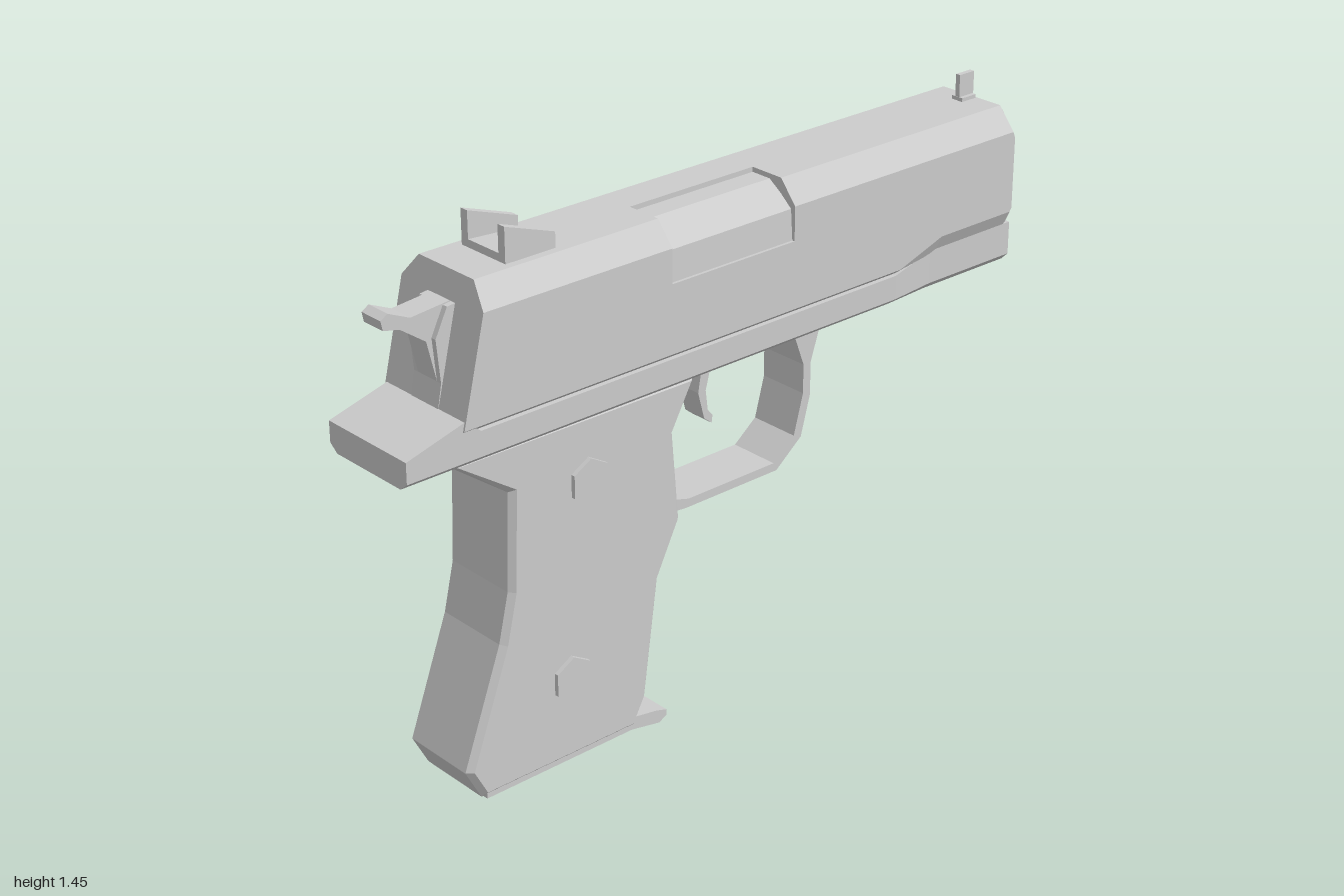
import * as THREE from 'three';

const material = new THREE.MeshStandardMaterial({ color: 0xcccccc, flatShading: true, side: THREE.DoubleSide });

const toShape = pts => new THREE.Shape(pts.map(p => new THREE.Vector2(p[0], p[1])));

const hexagon = (cx, cy, r, turn = 0) => Array.from({ length: 6 }, (_, i) => {
  const a = turn + i * Math.PI / 3;
  return [cx + r * Math.cos(a), cy + r * Math.sin(a)];
});

// Skin over rings of [x, y, z] points that run anticlockwise seen from +x
function loft(rings, capFront = true) {
  const pos = [];
  const n = rings[0].length;
  const tri = (...pts) => pts.forEach(p => pos.push(...p));
  for (let k = 0; k < rings.length - 1; k++) {
    const a = rings[k], b = rings[k + 1];
    for (let i = 0; i < n; i++) {
      const j = (i + 1) % n;
      tri(a[i], a[j], b[j]);
      tri(a[i], b[j], b[i]);
    }
  }
  const centre = r => [0, 1, 2].map(c => r.reduce((s, p) => s + p[c], 0) / n);
  const first = rings[0], last = rings[rings.length - 1];
  for (let i = 0; i < n; i++) {
    const j = (i + 1) % n;
    tri(centre(first), first[j], first[i]);
    if (capFront) tri(centre(last), last[i], last[j]);
  }
  const g = new THREE.BufferGeometry();
  g.setAttribute('position', new THREE.Float32BufferAttribute(pos, 3));
  g.computeVertexNormals();
  return g;
}

// Side profile in x, y given thickness from z0 to z1, with an optional inset bevel
function slab(pts, z0, z1, bevel = 0) {
  return new THREE.ExtrudeGeometry(toShape(pts), {
    depth: z1 - z0 - 2 * bevel, bevelEnabled: bevel > 0, bevelSegments: 1,
    bevelSize: bevel, bevelThickness: bevel, bevelOffset: -bevel
  }).translate(0, 0, z0 + bevel);
}

// Cross-section shape pushed along +x
const along = (shape, x0, x1) => new THREE.ExtrudeGeometry(shape, { depth: x1 - x0, bevelEnabled: false })
  .rotateY(Math.PI / 2).translate(x0, 0, 0);

export function createModel() {
  const model = new THREE.Group();
  const body = new THREE.Group();
  body.name = 'body';
  body.position.z = 0.01;
  model.add(body);
  const add = (name, geometry) => {
    const m = new THREE.Mesh(geometry, material);
    m.name = name;
    body.add(m);
    return m;
  };

  // Slide: chamfered section with an ejection port cut and a raised front underside
  const slideRing = (x, b, lip, port = false) => [
    [-0.1, 1.36], [0, 1.36], [0, port ? 1.347 : 1.36], [0.06, port ? 1.347 : 1.36],
    port ? [0.1, 1.32] : [0.1, 1.36], port ? [0.136, 1.29] : [0.15, 1.3],
    port ? [0.142, 1.21] : [0.15, 1.21], [0.15, 1.21],
    [0.15, b], [0.125, b - lip], [-0.125, b - lip], [-0.15, b], [-0.15, 1.3]
  ].map(([z, y]) => [x, y, z]);
  const rear = slideRing(0, 1.03, 0.02).map(([, y, z]) => [-0.84 + (y - 1.03) * 0.24, y, z]);
  const nose = slideRing(0.98, 1.08, 0.05).map(([x, y, z]) => [x, y > 1.25 ? y - 0.025 : y, z * 0.9]);
  add('slide', loft([
    rear,
    slideRing(-0.22, 1.03, 0.02), slideRing(-0.22, 1.03, 0.02, true),
    slideRing(0.175, 1.03, 0.02, true), slideRing(0.175, 1.03, 0.02),
    slideRing(0.55, 1.03, 0.02), slideRing(0.7, 1.08, 0.05),
    slideRing(0.955, 1.08, 0.05), nose
  ], false));

  // Front plate of the slide with the bore opening
  const outline = nose.filter((p, i) => i !== 2 && i !== 7).map(([, y, z]) => [-z, y]);
  const plate = toShape(outline);
  plate.holes.push(toShape(hexagon(0, 1.23, 0.085)));
  add('slideFront', new THREE.ShapeGeometry(plate).rotateY(Math.PI / 2).translate(0.98, 0, 0));

  // Hollow six-sided barrel, closed deep inside
  const tube = toShape(hexagon(0, 1.23, 0.097));
  tube.holes.push(toShape(hexagon(0, 1.23, 0.083)));
  add('barrel', along(tube, 0.6, 0.995));
  add('barrelEnd', along(toShape(hexagon(0, 1.23, 0.09)), 0.58, 0.6));
  add('springPlug', along(toShape(hexagon(0, 1.01, 0.06)), 0.9, 0.995));

  // Frame: rear tang, straight rails and a slimmer dust cover
  const frameRing = (x, top, w, wBottom) => [
    [-w, top], [w, top], [w, 0.95], [wBottom, 0.93], [-wBottom, 0.93], [-w, 0.95]
  ].map(([z, y]) => [x, y, z]);
  add('frame', loft([
    frameRing(-1, 1.005, 0.145, 0.12), frameRing(-0.835, 1.05, 0.145, 0.12),
    frameRing(-0.79, 1.015, 0.145, 0.12), frameRing(0.54, 1.015, 0.145, 0.12),
    frameRing(0.68, 1.04, 0.13, 0.11), frameRing(0.98, 1.04, 0.13, 0.11)
  ]));

  // Grip with bevelled edges
  add('grip', slab([
    [-0.86, 0.935], [-0.69, 0.81], [-0.7, 0.55], [-0.73, 0.42], [-0.845, 0.11], [-0.8, 0.025],
    [-0.32, 0.025], [-0.28, 0.1], [-0.235, 0.42], [-0.165, 0.56], [-0.185, 0.8], [-0.115, 0.935]
  ], -0.12, 0.12, 0.015));
  add('floorPlate', slab([
    [-0.79, 0.02], [-0.33, 0.02], [-0.24, 0.003], [-0.215, 0.015], [-0.215, 0.032],
    [-0.25, 0.042], [-0.33, 0.055], [-0.4, 0.04], [-0.79, 0.035]
  ], -0.115, 0.115));

  // Grip screws on both sides
  for (const [x, y] of [[-0.46, 0.77], [-0.525, 0.255]]) {
    add('gripScrew', slab(hexagon(x, y, 0.06, Math.PI / 6), -0.132, 0.132));
  }

  // Trigger guard and trigger
  add('triggerGuard', slab([
    [-0.19, 0.56], [-0.11, 0.552], [0.2, 0.552], [0.285, 0.62], [0.315, 0.73], [0.315, 0.82], [0.355, 0.94],
    [0.245, 0.94], [0.29, 0.82], [0.29, 0.74], [0.26, 0.63], [0.19, 0.575], [-0.1, 0.575], [-0.19, 0.6]
  ], -0.072, 0.072));
  add('trigger', slab([
    [-0.015, 0.94], [-0.035, 0.83], [-0.015, 0.755], [0.01, 0.735], [0.013, 0.755],
    [-0.003, 0.775], [-0.01, 0.83], [0.02, 0.94]
  ], -0.035, 0.035));

  // Hammer with a wider root against the slide
  add('hammer', slab([
    [-0.78, 1.295], [-0.89, 1.285], [-0.95, 1.312], [-0.97, 1.3], [-0.965, 1.275], [-0.92, 1.265],
    [-0.85, 1.215], [-0.825, 1.11], [-0.84, 1.03], [-0.78, 1.03]
  ], -0.035, 0.035));
  add('hammerRoot', slab([
    [-0.75, 1.295], [-0.8, 1.29], [-0.835, 1.22], [-0.825, 1.11], [-0.84, 1.03], [-0.75, 1.03]
  ], -0.05, 0.05));

  // Rear sight: two wedge ears on a low base; front sight: thin post on a foot
  for (const s of [-1, 1]) {
    add('rearSightEar', slab([[-0.655, 1.355], [-0.51, 1.355], [-0.51, 1.4], [-0.655, 1.45]],
      s * 0.067 - 0.012, s * 0.067 + 0.012));
  }
  add('rearSightBase', slab([[-0.655, 1.355], [-0.51, 1.355], [-0.51, 1.37], [-0.655, 1.38]], -0.06, 0.06));
  add('frontSight', slab([[0.905, 1.35], [0.945, 1.35], [0.953, 1.375], [0.953, 1.43], [0.9, 1.43], [0.9, 1.375]], -0.007, 0.007));
  add('frontSightFoot', slab([[0.9, 1.35], [0.95, 1.35], [0.95, 1.37], [0.9, 1.37]], -0.018, 0.018));

  // Slide catch plate with rivets and thumb piece on the far side
  add('catchPlate', slab([
    [-0.43, 1.05], [0.13, 1.07], [0.13, 1.125], [0.11, 1.14], [-0.13, 1.185], [-0.43, 1.18]
  ], -0.158, -0.14));
  add('catchThumbPiece', slab([
    [-0.36, 1.09], [-0.3, 1.065], [-0.24, 1.09], [-0.23, 1.125], [-0.28, 1.15], [-0.36, 1.13]
  ], -0.175, -0.15, 0.006));
  for (const [x, y] of [[-0.41, 1.07], [-0.41, 1.16], [-0.14, 1.165], [0.11, 1.09]]) {
    add('catchRivet', slab(hexagon(x, y, 0.009), -0.162, -0.15));
  }

  return model;
}
